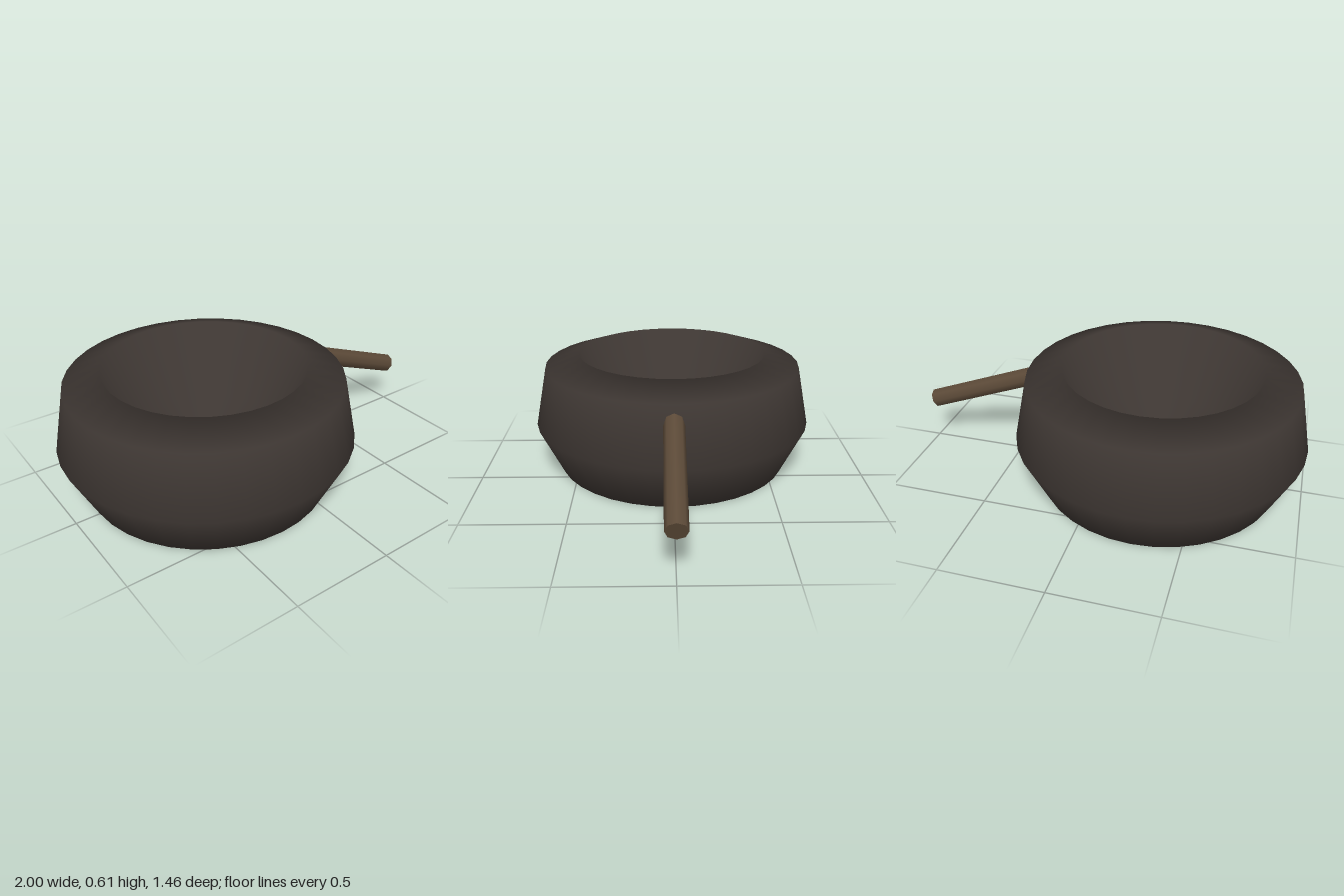
import * as THREE from 'three';

export function createModel() {
  const model = new THREE.Group();
  model.name = 'pot';

  const iron = new THREE.MeshStandardMaterial({ color: 0x3d3632 });
  const wood = new THREE.MeshStandardMaterial({ color: 0x5c4a38 });

  // Pot body: dished base, outer wall, sloping shoulder and steep-sided bowl
  const profile = [
    [0, 0.12], [0.61, 0], [0.73, 0.245], [0.67, 0.55],
    [0.49, 0.61], [0.34, 0.25], [0, 0.12],
  ].map(([r, y]) => new THREE.Vector2(r, y));
  const body = new THREE.Mesh(new THREE.LatheGeometry(profile, 36), iron);
  body.name = 'potBody';
  body.position.x = -0.27;
  model.add(body);

  // Straight handle sloping down and away from the shoulder
  const start = new THREE.Vector3(0.39, 0.463, 0);
  const end = new THREE.Vector3(0.982, 0.238, 0);
  const along = end.clone().sub(start);
  const handle = new THREE.Mesh(new THREE.CylinderGeometry(0.05, 0.05, along.length(), 8), wood);
  handle.name = 'handle';
  handle.position.copy(start).add(end).multiplyScalar(0.5);
  handle.rotation.z = Math.atan2(along.y, along.x) - Math.PI / 2;
  model.add(handle);

  return model;
}
